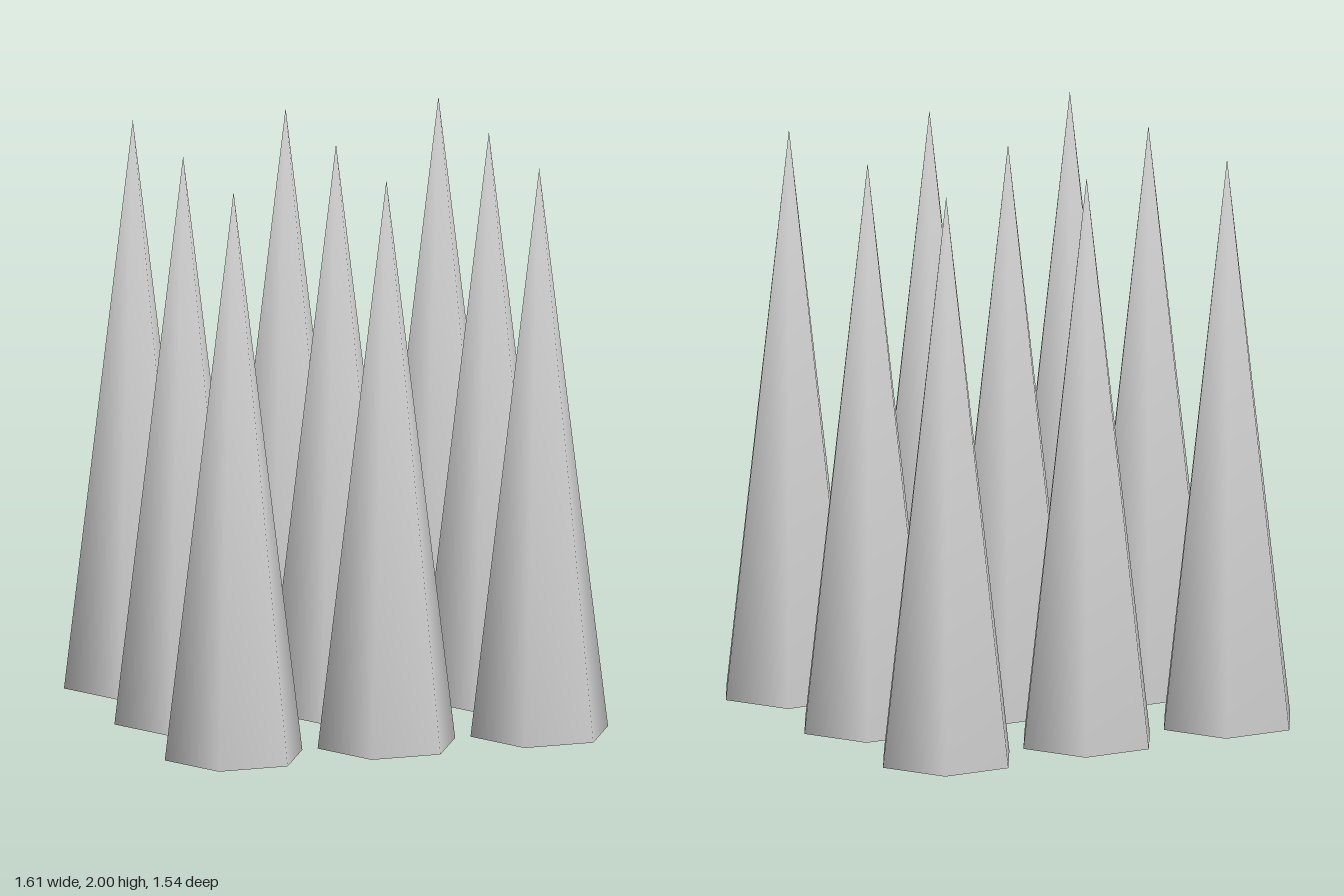
import * as THREE from 'three';

const HEIGHT = 2, RADIUS = 0.25, SIDES = 6, SPACING = 0.5556;

// Six-sided spike standing on y = 0, corners on the x axis, shaded smoothly up to the tip
function spikeGeometry() {
  const geo = new THREE.ConeGeometry(RADIUS, HEIGHT, SIDES, 1, false, Math.PI / 2);
  geo.translate(0, HEIGHT / 2, 0);
  const { position, normal } = geo.attributes;
  for (let i = 0; i < position.count; i++) {
    // all faces share one upward normal at the tip
    if (position.getY(i) > HEIGHT - 0.001) normal.setXYZ(i, 0, 1, 0);
  }
  return geo;
}

export function createModel() {
  const model = new THREE.Group();
  model.name = 'spikeTrap';
  const grey = new THREE.MeshStandardMaterial({ color: 0xcccccc });
  grey.name = 'light grey';

  // Three by three grid of spikes
  const geo = spikeGeometry();
  for (let row = -1; row <= 1; row++) {
    for (let col = -1; col <= 1; col++) {
      const spike = new THREE.Mesh(geo, grey);
      spike.name = `spikeRow${row + 2}Column${col + 2}`;
      spike.position.set(col * SPACING, 0, row * SPACING);
      model.add(spike);
    }
  }
  return model;
}
